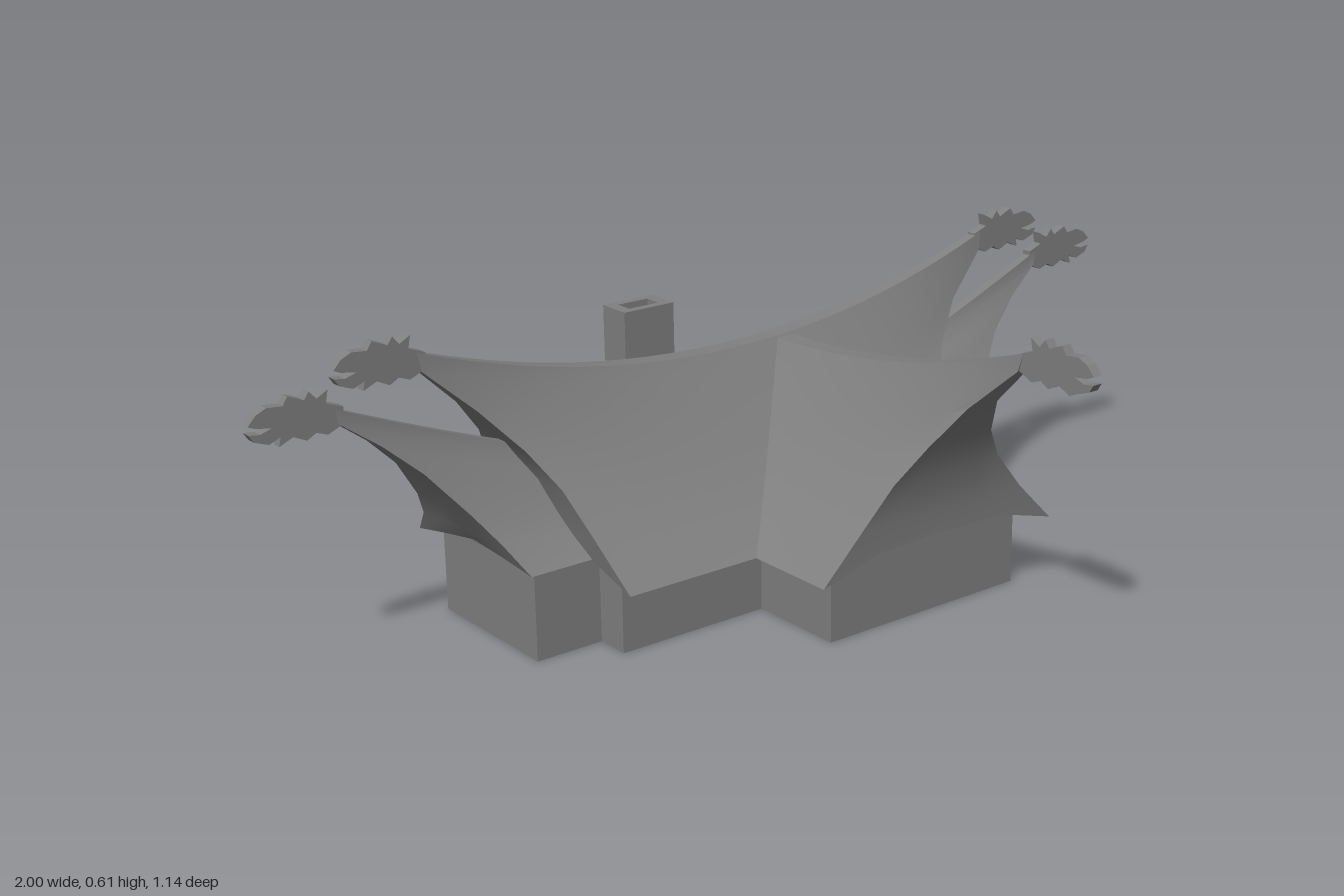
import * as THREE from 'three';
import { toCreasedNormals } from 'three/addons/utils/BufferGeometryUtils.js';

const lerp = THREE.MathUtils.lerp;
const RIDGE_Z = -0.29;

// Surface through an nu x nv grid of points; normal follows u x v
function gridGeometry(nu, nv, point) {
  const pos = [], index = [];
  for (let i = 0; i < nu; i++) for (let k = 0; k < nv; k++) pos.push(...point(i, k));
  for (let i = 0; i < nu - 1; i++) {
    for (let k = 0; k < nv - 1; k++) {
      const a = i * nv + k, b = a + nv;
      index.push(a, b, b + 1, a, b + 1, a + 1);
    }
  }
  const g = new THREE.BufferGeometry();
  g.setAttribute('position', new THREE.Float32BufferAttribute(pos, 3));
  g.setIndex(index);
  return toCreasedNormals(g, 0.45);
}

// Gable edges, eave to ridge: [distance along ridge, height, half width]
const HIGH_EDGE = [
  [0.43, 0.135, 0.285], [0.443, 0.22, 0.197], [0.463, 0.3, 0.128], [0.505, 0.37, 0.078],
  [0.575, 0.45, 0.036], [0.667, 0.535, 0.013], [0.675, 0.572, 0.01],
];
const WING_EDGE = [
  [0.48, 0.135, 0.285], [0.482, 0.22, 0.2], [0.492, 0.3, 0.13], [0.525, 0.37, 0.078],
  [0.582, 0.45, 0.036], [0.68, 0.538, 0.013], [0.69, 0.572, 0.01],
];
const LOW_EDGE = [
  [0.59, 0.17, 0.168], [0.607, 0.22, 0.12], [0.638, 0.275, 0.083], [0.7, 0.36, 0.043],
  [0.765, 0.422, 0.023], [0.835, 0.475, 0.011], [0.84, 0.503, 0.01],
];
// Matching cross-sections where each roof starts: [height, half width]
const HIGH_START = [
  [0.135, 0.285], [0.185, 0.228], [0.235, 0.18], [0.29, 0.135], [0.35, 0.09], [0.42, 0.04], [0.45, 0.02],
];
const LOW_START = [
  [0.17, 0.168], [0.195, 0.13], [0.22, 0.1], [0.25, 0.07], [0.28, 0.045], [0.305, 0.022], [0.322, 0.012],
];

// Swept roof along local x with its closed gable end
function makeRoof(name, material, { edge, start, from, power, full, skew = 0, lift, lean = 0 }) {
  const group = new THREE.Group();
  group.name = name;
  const n = edge.length, steps = full ? 24 : 14;
  const point = (j, t, side) => {
    const f = Math.pow(Math.abs(t), power), e = edge[j];
    const a0 = from + lean * start[j][1];
    const d = lerp(start[j][1], e[2], f) * side;
    const cut = skew * side > 0 ? Math.abs(skew) * (e[2] / edge[0][2]) : 0;
    return [full ? t * e[0] : lerp(a0, e[0] - cut, t), lerp(start[j][0], e[1], f), d];
  };
  const slopes = new THREE.Mesh(gridGeometry(steps + 1, 2 * n, (i, k) => {
    const t = full ? (i / steps) * 2 - 1 : i / steps;
    return k < n ? point(k, t, 1) : point(2 * n - 1 - k, t, -1);
  }), material);
  slopes.name = name + 'Slopes';
  group.add(slopes);

  const across = [1, 0.56, 0, -0.56, -1];
  const gable = gridGeometry(across.length, n, (c, j) => {
    const p = point(j, 1, 1), q = point(j, 1, -1), s = (1 - across[c]) / 2;
    return [lerp(p[0], q[0], s), p[1] + (j === 0 ? lift[c] : 0), lerp(p[2], q[2], s)];
  });
  for (let s = 0; s < (full ? 2 : 1); s++) {
    const mesh = new THREE.Mesh(gable, material);
    mesh.name = name + 'Gable';
    mesh.rotation.y = s * Math.PI;
    group.add(mesh);
  }
  return group;
}

// Carved beast head: flat horned outline with open jaws, facing +x
function headGeometry() {
  const outline = [
    [-0.012, 0.018], [0.02, 0.03], [0.015, 0.054], [0.037, 0.042], [0.05, 0.058], [0.06, 0.044],
    [0.09, 0.057], [0.1, 0.042], [0.13, 0.045], [0.15, 0.036], [0.166, 0.019], [0.152, 0.013],
    [0.122, 0.008], [0.145, 0.001], [0.166, 0.004], [0.157, -0.01], [0.13, -0.02], [0.108, -0.011],
    [0.112, -0.028], [0.085, -0.016], [0.06, -0.028], [0.042, -0.018], [0.02, -0.026], [-0.012, -0.012],
  ];
  const shape = new THREE.Shape(outline.map(([x, y]) => new THREE.Vector2(x, y)));
  return new THREE.ExtrudeGeometry(shape, { depth: 0.02, bevelEnabled: false }).translate(0, 0, -0.01);
}

export function createModel() {
  const grey = new THREE.MeshStandardMaterial({ color: 0x808080, side: THREE.DoubleSide });
  grey.name = 'stone grey';
  const model = new THREE.Group();
  model.name = 'hall';

  // Walls: one cross-shaped ribbon, open below
  const plan = [
    [-0.55, -0.13], [-0.41, -0.13], [-0.41, -0.06], [-0.09, -0.06], [-0.09, 0.145], [0.37, 0.145],
    [0.37, -0.06], [0.41, -0.06], [0.41, -0.13], [0.55, -0.13], [0.55, -0.44], [0.41, -0.44],
    [0.41, -0.515], [-0.41, -0.515], [-0.41, -0.44], [-0.55, -0.44], [-0.55, -0.13],
  ];
  const walls = new THREE.Mesh(
    gridGeometry(plan.length, 2, (i, k) => [plan[i][0], k * 0.172, plan[i][1]]), grey);
  walls.name = 'walls';
  model.add(walls);

  // Main roof
  const eaveLift = [0, 0.035, 0.04, 0.035, 0];
  const main = makeRoof('mainRoof', grey, {
    edge: HIGH_EDGE, start: HIGH_START, from: 0, power: 2, full: true, lift: eaveLift,
  });
  main.position.z = RIDGE_Z;
  model.add(main);

  // Front wing roof, starting along the valleys of the main roof
  const wing = makeRoof('wingRoof', grey, {
    edge: WING_EDGE, start: HIGH_START, from: 0, lean: 1, power: 2, lift: eaveLift,
  });
  wing.position.set(0.14, 0, RIDGE_Z);
  wing.rotation.y = -Math.PI / 2;
  model.add(wing);

  // Lower end roofs, front corners cut shorter
  for (const side of [1, -1]) {
    const low = makeRoof(side > 0 ? 'leftEndRoof' : 'rightEndRoof', grey, {
      edge: LOW_EDGE, start: LOW_START, from: 0.35, power: 1.15, skew: 0.03 * side,
      lift: [0, 0.012, 0.025, 0.012, 0],
    });
    low.position.z = RIDGE_Z;
    low.rotation.y = side > 0 ? 0 : Math.PI;
    model.add(low);
  }

  // Ridge heads
  const head = headGeometry();
  const heads = [
    [0.67, 0.552, RIDGE_Z, 0], [-0.67, 0.552, RIDGE_Z, Math.PI],
    [0.834, 0.487, RIDGE_Z, 0], [-0.834, 0.487, RIDGE_Z, Math.PI],
    [0.14, 0.552, 0.402, -Math.PI / 2],
  ];
  for (const [x, y, z, turn] of heads) {
    const mesh = new THREE.Mesh(head, grey);
    mesh.name = 'ridgeHead';
    mesh.position.set(x, y, z);
    mesh.rotation.y = turn;
    model.add(mesh);
  }

  // Chimney: hollow square shaft
  const rect = (C, w, h) => new C([[-w, -h], [w, -h], [w, h], [-w, h]].map(([x, y]) => new THREE.Vector2(x, y)));
  const section = rect(THREE.Shape, 0.057, 0.035);
  section.holes.push(rect(THREE.Path, 0.034, 0.018));
  const chimney = new THREE.Mesh(
    new THREE.ExtrudeGeometry(section, { depth: 0.265, bevelEnabled: false }).rotateX(-Math.PI / 2), grey);
  chimney.name = 'chimney';
  chimney.position.set(-0.142, 0.28, -0.366);
  model.add(chimney);

  return model;
}
